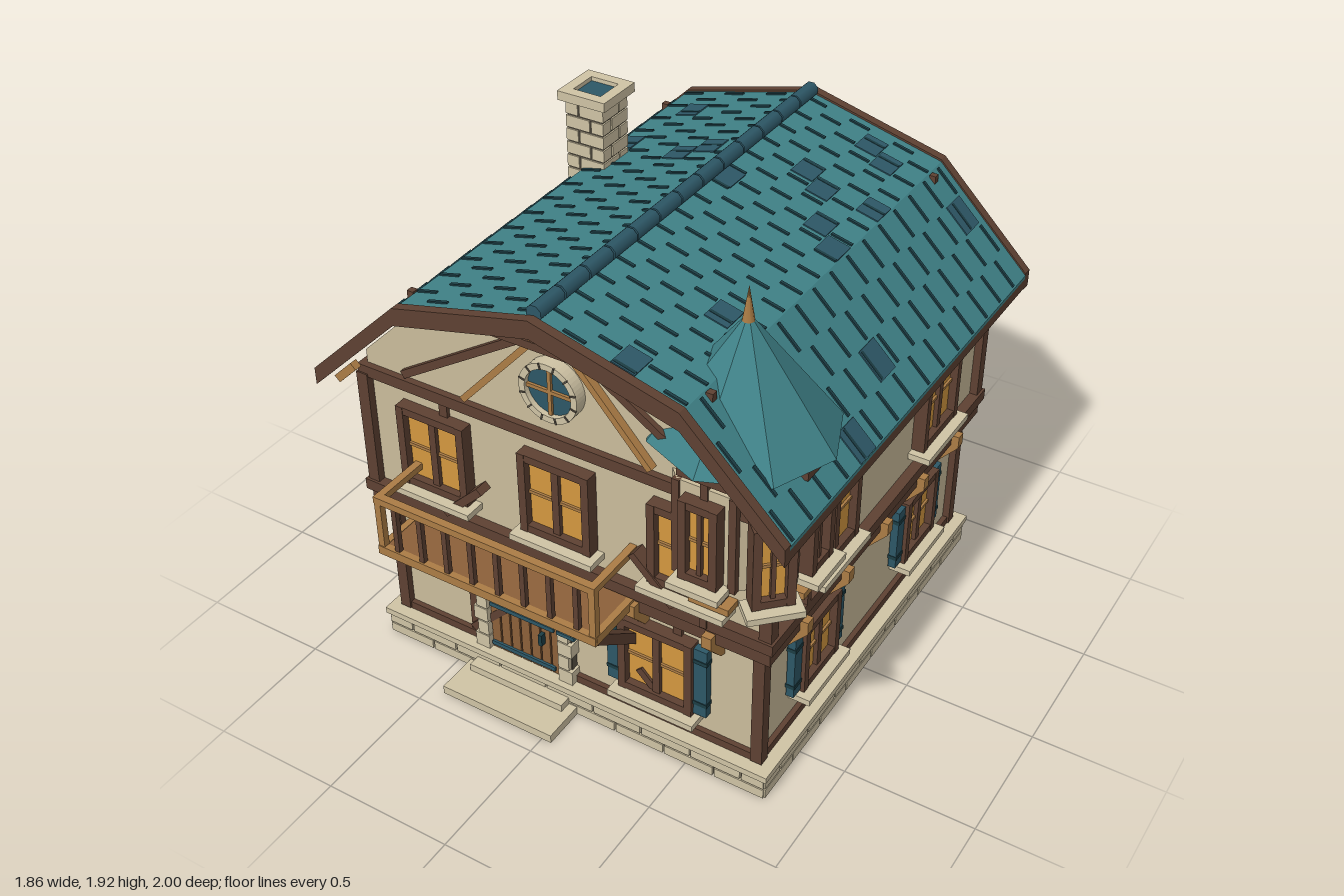
import * as THREE from 'three';
import { mergeGeometries } from 'three/addons/utils/BufferGeometryUtils.js';

const mat = (name, color) => Object.assign(new THREE.MeshStandardMaterial({ color }), { name });
const plaster = mat('plaster', 0xcabc9b), stone = mat('stone', 0xcfc3a4), mortar = mat('mortar', 0x5a5347);
const darkWood = mat('dark wood', 0x5e4132), plankWood = mat('plank wood', 0x8c6039), lightWood = mat('light wood', 0xab7c45);
const teal = mat('roof teal', 0x3f8187), deepTeal = mat('deep teal', 0x2d5766), gapTeal = mat('tile gap', 0x1c3d44);
const amber = mat('amber glass', 0xd3983f);

function add(parent, name, geo, material, x = 0, y = 0, z = 0) {
  const m = new THREE.Mesh(geo, material);
  m.name = name;
  m.position.set(x, y, z);
  parent.add(m);
  return m;
}
const box = (p, name, material, w, h, d, x, y, z) => add(p, name, new THREE.BoxGeometry(w, h, d), material, x, y, z);
function group(parent, name, x = 0, y = 0, z = 0, ry = 0) {
  const g = new THREE.Group();
  g.name = name;
  g.position.set(x, y, z);
  g.rotation.y = ry;
  parent.add(g);
  return g;
}
// square timber between two points
function beam(p, name, material, a, b, t, d = t) {
  const A = new THREE.Vector3(...a), B = new THREE.Vector3(...b), dir = B.clone().sub(A);
  const m = box(p, name, material, t, dir.length(), d, 0, 0, 0);
  m.position.copy(A).add(B).multiplyScalar(0.5);
  m.quaternion.setFromUnitVectors(new THREE.Vector3(0, 1, 0), dir.normalize());
  return m;
}
function prism(p, name, material, pts, depth, z) {
  const s = new THREE.Shape(pts.map(q => new THREE.Vector2(...q)));
  return add(p, name, new THREE.ExtrudeGeometry(s, { depth, bevelEnabled: false }), material, 0, 0, z);
}

// framed window with sill and optional shutters, facing +z
function windowUnit(parent, x, y, z, w, h, ry = 0, shutters = false) {
  const g = group(parent, 'window', x, y, z, ry), f = 0.03;
  box(g, 'pane', amber, w - f, h - f, 0.03, 0, 0, 0.005);
  for (const s of [-1, 1]) {
    box(g, 'frameSide', darkWood, f, h, 0.07, s * (w - f) / 2, 0, 0.015);
    box(g, 'frameRail', darkWood, w, f, 0.066, 0, s * (h - f) / 2, 0.015);
    if (shutters) {
      box(g, 'shutter', deepTeal, 0.052, h - 0.02, 0.03, s * (w / 2 + 0.027), 0, 0.02);
      for (const v of [-1, 1]) box(g, 'shutterBatten', gapTeal, 0.056, 0.016, 0.036, s * (w / 2 + 0.027), v * h * 0.3, 0.02);
    }
  }
  box(g, 'mullion', darkWood, w > 0.2 ? 0.028 : 0.016, h, 0.05, 0, 0, 0.012);
  box(g, 'glazingBar', lightWood, w - f, 0.012, 0.042, 0, 0, 0.008);
  box(g, 'sill', stone, w + 0.05, 0.025, 0.1, 0, -h / 2 - 0.016, 0.035);
}

function buildBase(house) {
  const g = group(house, 'stoneBase');
  box(g, 'core', mortar, 1.62, 0.1, 1.62, 0, 0.05, 0);
  box(g, 'rim', stone, 1.66, 0.026, 1.66, 0, 0.102, 0);
  for (let k = 0; k < 4; k++) {
    const side = group(g, 'stoneSide', 0, 0, 0, k * Math.PI / 2);
    for (let r = 0; r < 2; r++) {
      let a = -0.82;
      for (let i = 0; a < 0.81; i++) {
        const b = Math.min(0.82, a + (i === 0 && r ? 0.11 : 0.205));
        box(side, 'block', stone, b - a - 0.008, 0.039, 0.03, (a + b) / 2, 0.021 + r * 0.045, 0.807);
        a = b;
      }
    }
  }
  box(g, 'lowerStep', stone, 0.48, 0.035, 0.19, -0.2, 0.0175, 0.895);
  box(g, 'upperStep', stone, 0.41, 0.03, 0.06, -0.2, 0.05, 0.84);
}

function buildWalls(house) {
  box(house, 'groundWalls', plaster, 1.52, 0.55, 1.52, 0, 0.38, 0);
  box(house, 'groundPlate', darkWood, 1.56, 0.032, 1.56, 0, 0.131, 0);
  box(house, 'lowerFloorBeam', darkWood, 1.65, 0.062, 1.65, 0, 0.667, 0);
  box(house, 'upperFloorBeam', darkWood, 1.68, 0.045, 1.68, 0, 0.722, 0);
  box(house, 'upperWalls', plaster, 1.6, 0.52, 1.6, 0, 0.98, 0);
  box(house, 'wallPlate', darkWood, 1.65, 0.045, 1.65, 0, 1.225, 0);
  prism(house, 'gableWalls', plaster, [[-0.8, 1.22], [0.8, 1.22], [0.8, 1.3], [0.54, 1.56], [0, 1.7], [-0.54, 1.56], [-0.8, 1.3]], 1.6, -0.8);
  for (let k = 0; k < 4; k++) {
    const f = group(house, ['front', 'leftSide', 'back', 'rightSide'][k], 0, 0, 0, k * Math.PI / 2);
    const ends = k % 2 === 0;
    box(f, 'groundCornerPost', darkWood, 0.045, 0.53, 0.045, 0.765, 0.385, 0.765);
    box(f, 'upperCornerPost', darkWood, 0.047, 0.48, 0.047, 0.807, 0.975, 0.807);
    for (const s of [-1, 1]) {
      const u = ends ? 0.44 : 0.4;
      box(f, 'groundStud', darkWood, 0.034, 0.52, 0.03, s * u, 0.38, 0.76);
      box(f, 'upperStud', darkWood, 0.034, 0.47, 0.03, s * (ends ? 0.47 : 0.4), 0.97, 0.8);
      if (ends) {
        beam(f, 'groundBrace', darkWood, [s * 0.44, 0.17, 0.765], [s * 0.29, 0.325, 0.765], 0.03, 0.05);
        beam(f, 'upperBrace', darkWood, [s * 0.47, 0.75, 0.82], [s * 0.31, 0.91, 0.82], 0.03, 0.07);
      } else windowUnit(f, s * 0.4, 0.405, 0.76, 0.26, 0.285, 0, true);
    }
    for (const u of ends ? [-0.51, 0, 0.51] : [-0.4, 0.4]) windowUnit(f, u, 0.982, 0.8, 0.285, 0.33);
    // jetty corbels
    for (const u of k === 0 ? [-0.61, 0.3, 0.6] : [-0.6, -0.3, 0, 0.3, 0.6]) {
      const c = group(f, 'corbel', u + 0.019, 0, 0, -Math.PI / 2);
      prism(c, 'corbelBlock', lightWood, [[0.75, 0.54], [0.785, 0.55], [0.855, 0.63], [0.855, 0.68], [0.75, 0.68]], 0.038, 0);
    }
  }
  windowUnit(house, 0.366, 0.39, 0.76, 0.3, 0.325, 0, true);
}

function buildDoor(house) {
  const g = group(house, 'door', -0.2, 0, 0.76);
  box(g, 'doorBack', darkWood, 0.32, 0.46, 0.03, 0, 0.345, 0.005);
  for (let i = 0; i < 7; i++) box(g, 'plank', plankWood, 0.037, 0.45, 0.03, (i - 3) * 0.0445, 0.345, 0.012);
  for (const y of [0.145, 0.335]) box(g, 'hingeStrap', deepTeal, 0.28, 0.018, 0.012, -0.01, y, 0.03);
  box(g, 'handle', gapTeal, 0.016, 0.05, 0.03, 0.08, 0.275, 0.035);
  box(g, 'lintel', darkWood, 0.43, 0.042, 0.08, 0, 0.597, 0.02);
  for (const s of [-1, 1]) {
    box(g, 'jambCore', mortar, 0.045, 0.46, 0.04, s * 0.183, 0.345, 0.01);
    for (let i = 0; i < 7; i++) {
      const w = i % 2 ? 0.046 : 0.06;
      box(g, 'jambStone', stone, w, 0.06, 0.065, s * (0.155 + w / 2), 0.148 + i * 0.0655, 0.015);
    }
  }
  // hanging lantern
  const l = group(house, 'lantern', 0.035, 0.47, 0.83);
  box(l, 'lanternGlass', amber, 0.05, 0.09, 0.05, 0, 0, 0);
  for (const a of [-1, 1]) {
    for (const b of [-1, 1]) box(l, 'lanternPost', gapTeal, 0.012, 0.1, 0.012, a * 0.028, 0, b * 0.028);
    box(l, 'lanternCap', deepTeal, 0.075, 0.016, 0.075, 0, a * 0.052, 0);
  }
  add(l, 'lanternTop', new THREE.ConeGeometry(0.04, 0.03, 4).rotateY(Math.PI / 4), deepTeal, 0, 0.073, 0);
  box(l, 'lanternArm', darkWood, 0.014, 0.014, 0.09, 0, 0.085, -0.035);
}

function buildBalcony(house) {
  const g = group(house, 'balcony', -0.155, 0, 0);
  box(g, 'floor', plankWood, 0.88, 0.03, 0.24, 0, 0.673, 0.925);
  box(g, 'floorEdge', lightWood, 0.91, 0.036, 0.025, 0, 0.672, 1.047);
  box(g, 'topRail', lightWood, 0.91, 0.028, 0.03, 0, 0.892, 1.043);
  for (const s of [-1, 1]) {
    box(g, 'sideEdge', lightWood, 0.025, 0.036, 0.25, s * 0.443, 0.672, 0.925);
    box(g, 'sideRail', lightWood, 0.028, 0.026, 0.24, s * 0.441, 0.892, 0.92);
    box(g, 'cornerPost', lightWood, 0.026, 0.22, 0.026, s * 0.441, 0.79, 1.043);
    beam(g, 'strut', darkWood, [s * 0.41, 0.65, 1.03], [s * 0.41, 0.45, 0.77], 0.04);
  }
  for (let i = 0; i < 8; i++) box(g, 'baluster', darkWood, 0.02, 0.2, 0.02, (i - 3.5) * 0.107, 0.785, 1.043);
}

function buildGable(house) {
  const g = group(house, 'gableTrim');
  box(g, 'collarBeam', darkWood, 1.05, 0.03, 0.05, 0, 1.592, 0.81);
  for (const s of [-1, 1]) {
    beam(g, 'longStrut', darkWood, [s * 0.63, 1.265, 0.8], [s * 0.03, 1.65, 0.8], 0.03, 0.04);
    beam(g, 'shortStrut', lightWood, [s * 0.37, 1.265, 0.805], [s * 0.01, 1.67, 0.805], 0.024, 0.05);
  }
  const w = group(g, 'roundWindow', 0, 1.44, 0.8);
  const ring = new THREE.Shape().absarc(0, 0, 0.113, 0, Math.PI * 2);
  ring.holes.push(new THREE.Path().absarc(0, 0, 0.09, 0, Math.PI * 2));
  add(w, 'stoneRing', new THREE.ExtrudeGeometry(ring, { depth: 0.05, bevelEnabled: false, curveSegments: 24 }), stone);
  add(w, 'roundGlass', new THREE.CylinderGeometry(0.092, 0.092, 0.03, 32).rotateX(Math.PI / 2), deepTeal, 0, 0, 0.015);
  box(w, 'barUpright', lightWood, 0.014, 0.18, 0.04, 0, 0, 0.02);
  box(w, 'barAcross', lightWood, 0.18, 0.014, 0.04, 0, 0, 0.02);
  for (let i = 0; i < 12; i++) {
    const a = (i + 0.5) * Math.PI / 6;
    box(w, 'ringJoint', mortar, 0.024, 0.006, 0.006, Math.cos(a) * 0.102, Math.sin(a) * 0.102, 0.05).rotation.z = a;
  }
}

function buildRoof(house) {
  const g = group(house, 'roof');
  const line = [[-0.92, 1.25], [-0.545, 1.62], [0, 1.76], [0.545, 1.62], [0.92, 1.25]];
  const band = (top, bottom) => [...line.map(([x, y]) => [x, y + bottom]), ...line.map(([x, y]) => [x, y + top]).reverse()];
  prism(g, 'tiles', teal, band(0, -0.014), 1.81, -0.905);
  prism(g, 'roofBoards', darkWood, band(-0.014, -0.055), 1.81, -0.905);
  for (const z of [-0.94, 0.9]) prism(g, 'bargeBoard', darkWood, band(0.008, -0.06), 0.036, z);
  // odd darker tiles, x and z pairs
  const odd = [[-.41, -.78], [.31, -.84], [.41, -.78], [.675, -.87], [.225, -.52], [.32, -.46], [.49, -.5], [.41, -.28], [.5, -.19], [.055, -.26], [-.14, -.455],
    [-.225, -.39], [-.5, -.47], [-.87, -.45], [-.68, -.2], [.77, 0], [.405, .38], [-.87, .705], [.86, .32], [.32, .8]];
  for (const s of [1, -1]) {
    const side = group(g, 'roofSide', 0, 0, 0, s > 0 ? 0 : Math.PI);
    [[line[2], line[3], 6], [line[3], line[4], 4]].forEach(([a, b, n], j) => {
      const slope = group(side, j ? 'lowerSlope' : 'upperSlope', a[0], a[1], 0);
      slope.rotation.z = Math.atan2(b[1] - a[1], b[0] - a[0]);
      const len = Math.hypot(b[0] - a[0], b[1] - a[1]), step = len / n, gaps = [];
      for (let c = 0; c < n; c++)
        for (let z = -0.86 + (c % 2) * 0.06; z < 0.89; z += 0.12)
          gaps.push(new THREE.BoxGeometry(step * 0.88, 0.012, 0.012).translate((c + 0.5) * step, 0, z));
      add(slope, 'tileGaps', mergeGeometries(gaps), gapTeal);
      for (const [x, z] of odd) {
        const u = (x * s - a[0]) / (b[0] - a[0]);
        if (u > 0 && u < 1) box(slope, 'oddTile', deepTeal, step * 0.95, 0.009, 0.105, (Math.floor(u * n) + 0.5) * step, 0, s * Math.min(0.84, z + 0.06));
      }
    });
    for (const z of [-0.8, 0.78]) box(side, 'roofPeg', darkWood, 0.025, 0.03, 0.025, 0.565, 1.605, z);
    for (const z of [-0.6, -0.3, 0, 0.3, 0.6, -0.86, 0.86]) beam(side, 'rafterTail', lightWood, [0.8, 1.27, z], [0.88, 1.19, z], 0.03);
  }
  // ridge caps
  for (let i = 0; i < 13; i++)
    add(g, 'ridgeCap', new THREE.CylinderGeometry(0.03, 0.03, 0.132, 8).rotateY(Math.PI / 8).rotateX(Math.PI / 2), deepTeal, 0, 1.775, (i - 6) * 0.139);
}

function buildChimney(house) {
  const g = group(house, 'chimney', -0.53, 0, -0.25);
  box(g, 'core', mortar, 0.148, 0.4, 0.148, 0, 1.68, 0);
  for (let i = 0; i < 7; i++) {
    const split = i % 2 ? 0.025 : -0.025;
    for (const a of [-1, 1]) for (const b of [-1, 1]) {
      const w = 0.08 - a * split - 0.004, d = 0.08 - b * split - 0.004;
      box(g, 'block', stone, w, 0.046, d, a * (0.08 - w / 2), 1.535 + i * 0.053, b * (0.08 - d / 2));
    }
  }
  for (const s of [-1, 1]) {
    box(g, 'capEnd', stone, 0.2, 0.036, 0.042, 0, 1.903, s * 0.079);
    box(g, 'capSide', stone, 0.042, 0.036, 0.116, s * 0.079, 1.903, 0);
  }
  box(g, 'flue', deepTeal, 0.12, 0.02, 0.12, 0, 1.895, 0);
}

function buildTurret(house) {
  const g = group(house, 'turret', 0.582, 0, 0.59), r8 = Math.PI / 8;
  const oct = (r1, r2, h, turn) => new THREE.CylinderGeometry(r1, r2, h, 8).rotateY(turn).toNonIndexed();
  const flat = geo => { geo.computeVertexNormals(); return geo; };
  add(g, 'turretWalls', flat(oct(0.271, 0.271, 0.38, r8)), plaster, 0, 1.1, 0);
  add(g, 'turretCornice', flat(oct(0.3, 0.2, 0.045, 0)), darkWood, 0, 1.35, 0);
  add(g, 'turretRoof', flat(oct(0.004, 0.325, 0.43, 0)), teal, 0, 1.587, 0);
  add(g, 'finial', new THREE.ConeGeometry(0.022, 0.13, 8), lightWood, 0, 1.84, 0);
  for (let i = 0; i < 3; i++) {
    const a = i * Math.PI / 4, f = group(g, 'turretFace', 0, 0, 0, a);
    windowUnit(f, 0, 1.09, i === 1 ? 0.325 : 0.25, 0.145, 0.32);
    if (i === 1) continue;
    box(f, 'stud', darkWood, 0.026, 0.62, 0.03, 0, 1.02, 0.243);
    box(f, 'headRail', darkWood, 0.18, 0.03, 0.05, 0, 1.34, 0.25);
    box(f, 'bracketRail', lightWood, 0.15, 0.026, 0.07, i ? 0 : 0.03, 0.835, 0.24);
    for (const s of [-1, 1]) box(f, 'turretPost', darkWood, 0.028, 0.38, 0.028, s * 0.105, 1.1, 0.245);
  }
}

export function createModel() {
  const model = new THREE.Group();
  model.name = 'house';
  const house = group(model, 'building', 0, 0, -0.06);
  for (const build of [buildBase, buildWalls, buildDoor, buildBalcony, buildGable, buildRoof, buildChimney, buildTurret]) build(house);
  return model;
}
